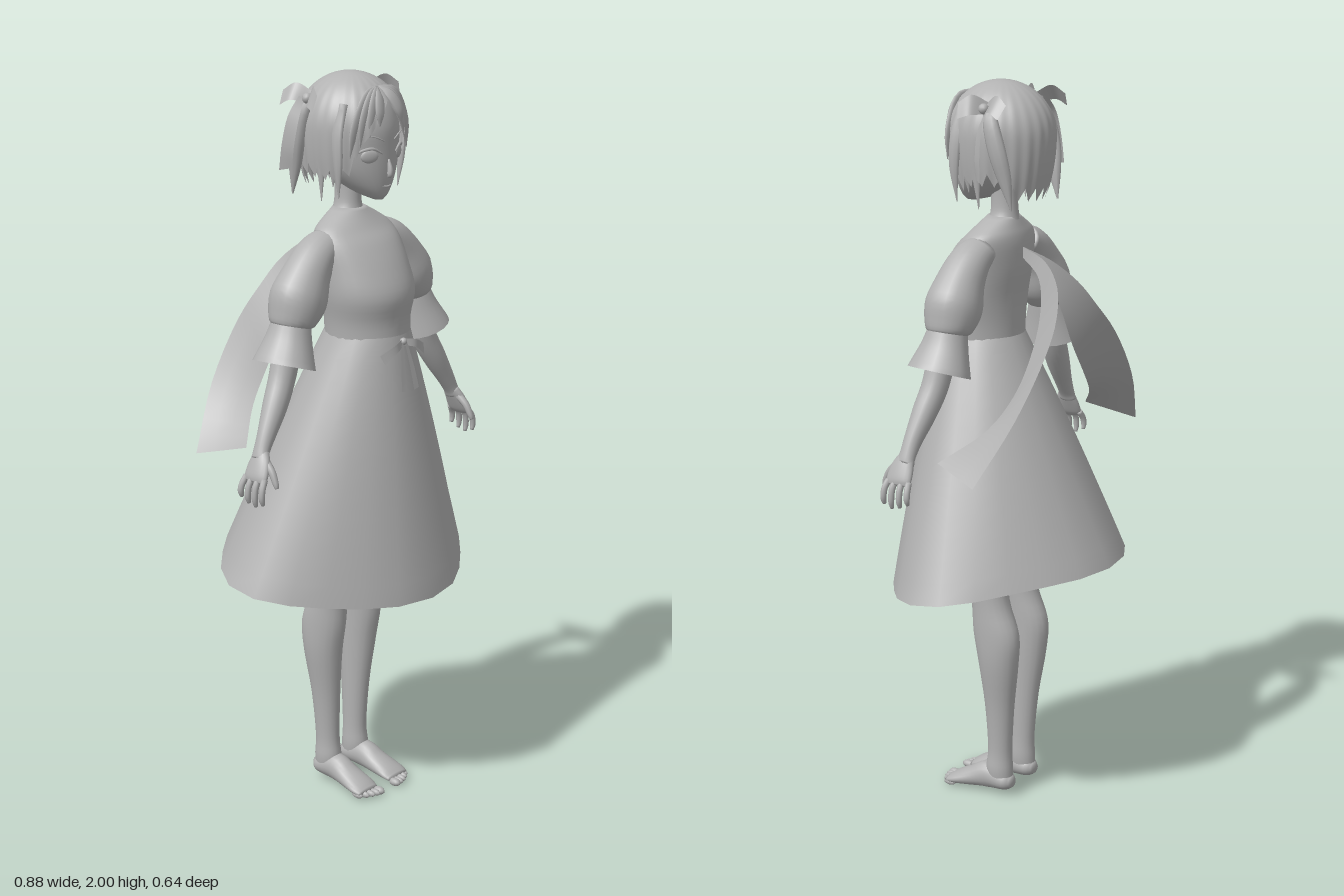
import * as THREE from 'three';
import { mergeVertices } from 'three/addons/utils/BufferGeometryUtils.js';

const grey = new THREE.MeshStandardMaterial({ color: 0xb2b2b2, side: THREE.DoubleSide });
grey.name = 'plain grey';
const V = (x, y, z) => new THREE.Vector3(x, y, z);
const Y = V(0, 1, 0), Z = V(0, 0, 1);

function add(parent, name, geometry) {
  const mesh = new THREE.Mesh(geometry, grey);
  mesh.name = name;
  parent.add(mesh);
  return mesh;
}

// Smooth surface from a rule f(u, v)
function surface(nu, nv, f) {
  const pos = [], idx = [];
  for (let j = 0; j <= nv; j++)
    for (let i = 0; i <= nu; i++) pos.push(...f(i / nu, j / nv).toArray());
  for (let j = 0; j < nv; j++)
    for (let i = 0; i < nu; i++) {
      const a = j * (nu + 1) + i, b = a + nu + 1;
      idx.push(a, b, a + 1, a + 1, b, b + 1);
    }
  let g = new THREE.BufferGeometry();
  g.setAttribute('position', new THREE.Float32BufferAttribute(pos, 3));
  g.setIndex(idx);
  g = mergeVertices(g, 1e-5);
  g.computeVertexNormals();
  return g;
}

// Oval tube through [x, y, z, radius, radius along ref]; axis keeps the rings parallel
function limb(points, { ref = Z, axis = null, seg = 20, cap = true, rows = 4 } = {}) {
  const path = new THREE.CatmullRomCurve3(points.map(p => V(p[0], p[1], p[2])), false, 'catmullrom', 0.5);
  const radii = new THREE.CatmullRomCurve3(points.map(p => V(p[3], p[4] ?? p[3], 0)), false, 'catmullrom', 0.5);
  const n = (points.length - 1) * rows;
  const rings = [];
  for (let j = 0; j <= n; j++) {
    const t = j / n, T = axis ? axis.clone() : path.getTangent(t);
    const N = ref.clone().addScaledVector(T, -ref.dot(T)).normalize();
    rings.push({ c: path.getPoint(t), r: radii.getPoint(t), N, M: T.clone().cross(N) });
  }
  if (cap) {
    rings.unshift({ ...rings[0], r: V(0, 0, 0) });
    rings.push({ ...rings[rings.length - 1], r: V(0, 0, 0) });
  }
  return surface(seg, rings.length - 1, (u, v) => {
    const { c, r, N, M } = rings[Math.round(v * (rings.length - 1))], a = u * Math.PI * 2;
    return c.clone().addScaledVector(M, Math.max(r.x, 0) * Math.cos(a)).addScaledVector(N, Math.max(r.y, 0) * Math.sin(a));
  });
}

// Upright form from [y, half width, front z, back z]
const stack = rows => limb(rows.map(([y, w, f, b]) => [0, y, (f + b) / 2, w, (f - b) / 2]), { axis: Y, seg: 32 });

// Ribbon between two edge curves
function ribbon(a, b, n = 14) {
  const [ca, cb] = [a, b].map(e => new THREE.CatmullRomCurve3(e.map(p => V(...p))));
  return surface(3, n, (u, v) => ca.getPoint(v).lerp(cb.getPoint(v), u));
}

function table(rows, x) {
  for (let i = 1; i < rows.length; i++)
    if (x <= rows[i][0])
      return THREE.MathUtils.mapLinear(x, rows[i - 1][0], rows[i][0], rows[i - 1][1], rows[i][1]);
  return rows[rows.length - 1][1];
}

function buildLeg(leg) {
  add(leg, 'leg', limb([[.075, 1.05, .04, .085, .09], [.077, .85, .04, .07, .08], [.081, .68, .036, .053, .064], [.083, .58, .018, .047, .056],
    [.085, .49, -.002, .047, .07], [.083, .4, -.008, .045, .06], [.074, .27, -.006, .035, .044], [.069, .14, -.004, .03, .036],
    [.069, .08, -.002, .033, .04], [.069, .045, -.004, .03, .038]], { axis: V(0, -1, 0) }));
  add(leg, 'foot', limb([[.069, .042, -.047, .014, .014], [.069, .043, -.025, .031, .027], [.07, .05, .03, .033, .039],
    [.072, .036, .08, .038, .029], [.075, .022, .13, .043, .018], [.075, .014, .155, .038, .01]], { ref: Y }));
  for (let i = 0; i < 5; i++) {
    const toe = add(leg, 'toe', new THREE.SphereGeometry(1, 10, 8));
    toe.scale.set(i ? .008 : .012, i ? .009 : .011, .019);
    toe.position.set(.046 + i * .0155, .011, .168 - i * i * .0016);
  }
}

function buildSide(side) {
  // Puffed sleeve with flared cuff
  add(side, 'puffSleeve', limb([[.095, 1.565, .025, .04, .048], [.14, 1.54, .028, .052, .056], [.178, 1.495, .03, .065, .063],
    [.211, 1.435, .03, .08, .074], [.236, 1.385, .03, .062, .065], [.243, 1.365, .03, .048, .05]]));
  add(side, 'sleeveCuff', limb([[.238, 1.38, .03, .05, .052], [.252, 1.33, .032, .06, .066], [.272, 1.27, .035, .079, .087]], { cap: false }));
  // Arm and hand
  add(side, 'forearm', limb([[.24, 1.38, .033, .04], [.28, 1.25, .038, .036], [.32, 1.175, .047, .033],
    [.36, 1.11, .055, .025], [.383, 1.07, .058, .019, .023], [.392, 1.05, .06, .017, .027]]));
  add(side, 'palm', limb([[.383, 1.07, .058, .016, .022], [.398, 1.04, .064, .016, .034], [.412, 1.01, .066, .014, .038], [.418, .995, .066, .009, .034]]));
  for (let i = 0; i < 4; i++) {
    const z = .034 + i * .021, len = [.045, .055, .06, .052][i];
    add(side, 'finger', limb([[.414, 1.006, z, .009], [.427, .985, z + (i - 1.5) * .003, .0085],
      [.431, 1.0 - len * .75, z + (i - 1.5) * .004, .008], [.427, 1.0 - len * 1.1, z + (i - 1.5) * .004, .005]], { seg: 8 }));
  }
  add(side, 'thumb', limb([[.392, 1.05, .078, .012], [.395, 1.025, .105, .01], [.397, .998, .12, .008], [.398, .985, .125, .005]], { seg: 8 }));

  // Trailing back sash
  add(side, 'backSash', ribbon(
    [[0, 1.565, -.045], [.014, 1.535, -.125], [.05, 1.48, -.185], [.1, 1.41, -.215], [.17, 1.33, -.228], [.29, 1.18, -.213], [.405, 1.02, -.16]],
    [[0, 1.54, -.04], [.02, 1.49, -.108], [.05, 1.4, -.132], [.105, 1.29, -.135], [.17, 1.205, -.128], [.25, 1.13, -.1], [.36, 1.055, -.02]], 24));

  // Waist bow, one loop and one tail
  add(side, 'waistBowLoop', ribbon([[0, 1.318, .205], [.04, 1.31, .218], [.088, 1.287, .204]], [[0, 1.3, .208], [.035, 1.29, .221], [.078, 1.262, .213]]));
  add(side, 'waistBowTail', ribbon([[.002, 1.31, .211], [.01, 1.24, .224], [.014, 1.18, .235]], [[.01, 1.31, .211], [.026, 1.24, .224], [.034, 1.184, .234]]));

  // Hair bow
  add(side, 'hairBowFrontLoop', ribbon([[.11, 1.955, -.01], [.14, 1.975, .02], [.158, 1.955, .05]], [[.125, 1.925, -.01], [.16, 1.925, .015], [.17, 1.915, .045]]));
  add(side, 'hairBowBackLoop', ribbon([[.11, 1.955, -.01], [.128, 1.976, -.05], [.14, 1.955, -.085]], [[.125, 1.925, -.01], [.158, 1.935, -.045], [.165, 1.92, -.075]]));
  const knot = add(side, 'hairBowKnot', new THREE.SphereGeometry(.014, 12, 8));
  knot.position.set(.13, 1.94, -.01);
  add(side, 'hairBowTail', ribbon([[.13, 1.94, -.02], [.16, 1.89, -.012], [.177, 1.82, -.014], [.178, 1.765, -.02]],
    [[.14, 1.945, -.03], [.175, 1.9, -.035], [.194, 1.83, -.04], [.2, 1.76, -.045]]));

  // Hair locks: side bunch, face lock and swept fringe
  add(side, 'sideBunch', limb([[.108, 1.945, -.01, .012], [.127, 1.9, -.03, .017, .022], [.128, 1.83, -.05, .017, .026],
    [.118, 1.76, -.066, .013, .02], [.11, 1.68, -.082, .002]], { seg: 10 }));
  [[0, 1.69, .085], [.012, 1.715, .055], [.006, 1.675, .02]].forEach(([dx, y, z]) =>
    add(side, 'sideLock', limb([[.095, 1.93, z, .012], [.12, 1.86, z, .009, .018], [.123 - dx, 1.78, z + .004, .008, .015], [.116 - dx, y, z, .001]], { seg: 8 })));
  for (let i = 0; i < 4; i++) {
    const w = .042 + i * .023, y = 1.875 - i * .026;
    add(side, 'fringeLock', limb([[.002, 1.965, .112, .006, .005], [w * .5, 1.945, .139 - i * .005, .016, .007],
      [w * .88, (y + 1.94) / 2, .155 - i * .011, .016, .007], [w, y, .16 - i * .014, .001, .001]], { seg: 8 }));
  }

  // Eye, lid and brow
  const eye = add(side, 'eye', new THREE.SphereGeometry(1, 14, 10));
  eye.scale.set(.025, .017, .006);
  eye.position.set(.056, 1.797, .137);
  eye.rotation.y = .45;
  add(side, 'upperLid', limb([[.026, 1.803, .154, .002], [.05, 1.817, .146, .004], [.072, 1.815, .133, .004], [.088, 1.806, .119, .002]], { seg: 6, ref: Y }));
  add(side, 'brow', limb([[.02, 1.835, .155, .002], [.05, 1.848, .147, .002], [.08, 1.848, .13, .001]], { seg: 6, ref: Y }));
}

export function createModel() {
  const model = new THREE.Group();
  model.name = 'girlInDress';

  // Dress
  add(model, 'bodice', stack([[1.29, .114, .197, -.03], [1.36, .119, .194, -.03], [1.43, .133, .202, -.034], [1.5, .136, .174, -.044],
    [1.56, .137, .135, -.046], [1.595, .125, .1, -.042], [1.62, .09, .078, -.034], [1.645, .045, .058, -.025]]));
  // Skirt hem narrows a little on the diagonals
  add(model, 'skirt', surface(22, 12, (u, t) => {
    const a = u * Math.PI * 2, c = Math.cos(a), k = 1 - .1 * t * Math.sin(2 * a) ** 2;
    return V((.114 + .296 * t) * k * Math.sin(a) - .004 * t, 1.325 - t * (.655 + .05 * c), .083 * (1 - t) + (.115 + .207 * t) * k * c);
  }));
  const knot = add(model, 'waistBowKnot', new THREE.SphereGeometry(.01, 12, 8));
  knot.position.set(0, 1.31, .208);

  // Neck and face
  add(model, 'neck', stack([[1.62, .055, .06, -.032], [1.65, .036, .052, -.026], [1.69, .032, .05, -.024], [1.74, .034, .05, -.026]]));
  add(model, 'face', stack([[1.677, .012, .132, .1], [1.692, .036, .143, .045], [1.72, .066, .15, -.01], [1.76, .094, .154, -.06],
    [1.81, .11, .155, -.085], [1.87, .114, .154, -.095], [1.93, .095, .13, -.075], [1.975, .045, .08, -.03]]));
  add(model, 'nose', limb([[0, 1.785, .152, .004], [0, 1.762, .158, .006, .008], [0, 1.745, .158, .007, .008], [0, 1.738, .15, .002]], { seg: 8 }));
  add(model, 'mouth', limb([[-.016, 1.716, .147, .001], [0, 1.714, .151, .003], [.016, 1.716, .147, .001]], { seg: 6, ref: Y }));

  // Hair cap with parted front and jagged hem
  const hem = [[0, 1.935], [.35, 1.885], [.7, 1.825], [.9, 1.75], [1.15, 1.715], [1.5, 1.735], [2, 1.735], [2.3, 1.7], [3.2, 1.69]];
  add(model, 'hair', surface(144, 20, (u, v) => {
    const a = (u * 2 - 1) * Math.PI, A = Math.abs(a);
    const zig = A > .8 ? .036 * Math.abs(((u * 24) % 1) * 2 - 1) : 0;
    const y = 2 - (2 - table(hem, A) - zig) * v * v;
    let k = y > 1.86 ? Math.sqrt(Math.max(0, 1 - ((y - 1.86) / .14) ** 2)) : 1 - .22 * ((1.86 - y) / .18) ** 2;
    k *= 1 + .012 * v * Math.cos(a * 24);
    return V(.133 * k * Math.sin(a), y, .022 + .147 * k * Math.cos(a));
  }));

  // Mirrored halves; the legs stand slightly to the right
  for (const s of [1, -1]) {
    const side = new THREE.Group(), leg = new THREE.Group();
    side.name = s > 0 ? 'leftSide' : 'rightSide';
    leg.name = s > 0 ? 'leftLeg' : 'rightLeg';
    buildSide(side);
    buildLeg(leg);
    side.scale.x = leg.scale.x = s;
    leg.position.x = s > 0 ? -.02 : .004;
    model.add(side, leg);
  }
  return model;
}
